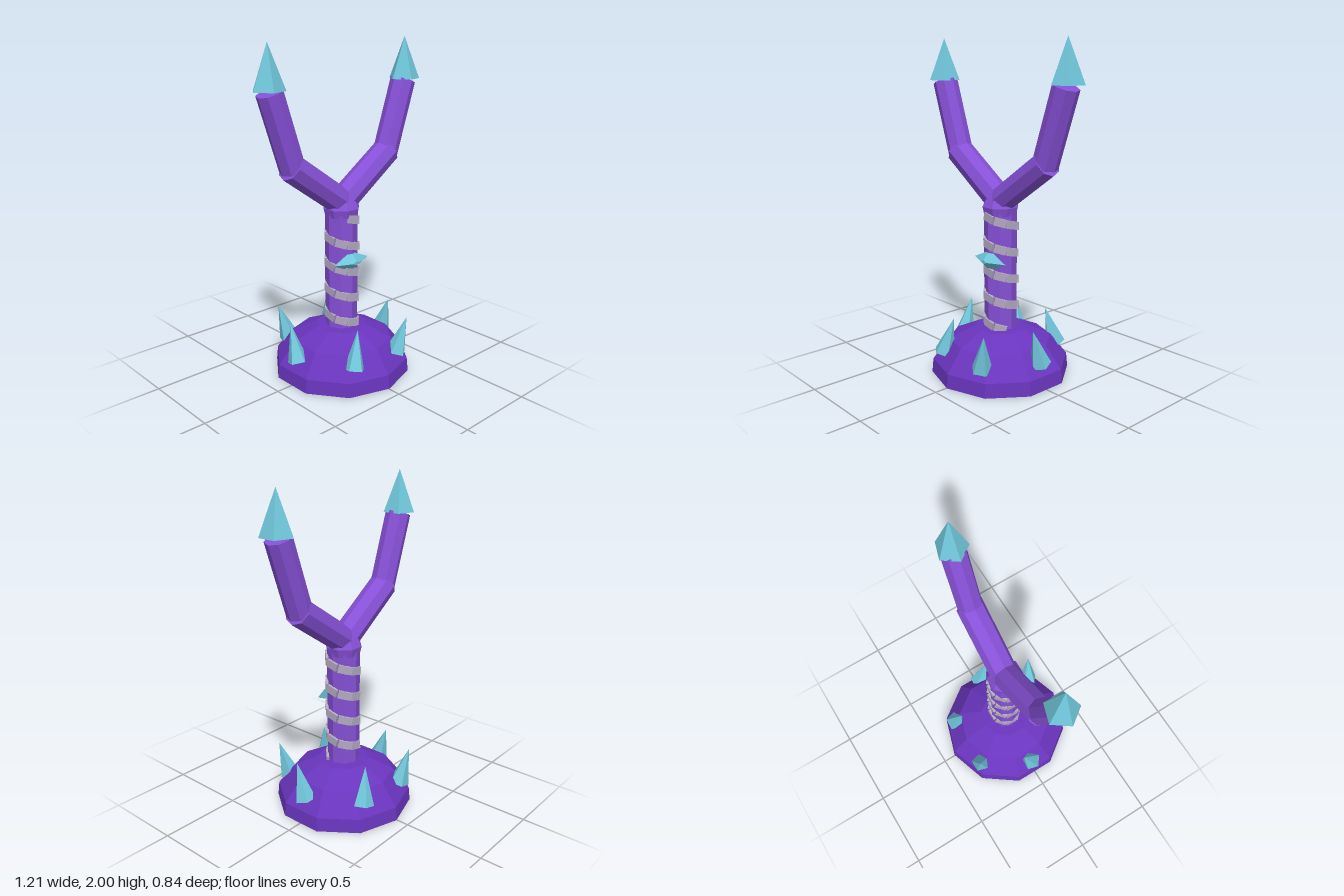
import * as THREE from 'three';

const mat = (name, color) => {
  const m = new THREE.MeshStandardMaterial({ color, flatShading: true });
  m.name = name;
  return m;
};
const UP = new THREE.Vector3(0, 1, 0);

export function createModel() {
  const darkPurple = mat('dark purple', 0x6a35be);
  const purple = mat('purple', 0x8650d6);
  const crystal = mat('crystal blue', 0x70c6da);
  const cloth = mat('wrap grey', 0xb2a8c0);

  const model = new THREE.Group();
  model.name = 'forkedStaff';
  const add = (name, geometry, material, x = 0, y = 0, z = 0) => {
    const mesh = new THREE.Mesh(geometry, material);
    mesh.name = name;
    mesh.position.set(x, y, z);
    model.add(mesh);
    return mesh;
  };
  const lathe = (points, sides) =>
    new THREE.LatheGeometry(points.map(([r, y]) => new THREE.Vector2(r, y)), sides);
  // Octagonal rod between two points
  const rod = (name, a, b, radius) => {
    const dir = b.clone().sub(a);
    const mid = a.clone().add(b).multiplyScalar(0.5);
    const mesh = add(name, new THREE.CylinderGeometry(radius, radius, dir.length(), 8), purple, mid.x, mid.y, mid.z);
    mesh.quaternion.setFromUnitVectors(UP, dir.normalize());
  };

  // Ten-sided domed foot
  add('base', lathe([[0, 0], [0.42, 0], [0.412, 0.085], [0.31, 0.215], [0.16, 0.285], [0, 0.29]], 10), darkPurple);

  // Stem and the faceted collar at the fork
  add('stem', new THREE.CylinderGeometry(0.098, 0.098, 0.76, 8), purple, 0, 0.65);
  add('forkCollar', lathe([[0, 0.98], [0.1, 0.98], [0.112, 1.03], [0.082, 1.09], [0.05, 1.14], [0, 1.14]], 8)
    .rotateY(Math.PI / 8), purple);

  // Mirrored arms, each capped with a five-sided crystal point
  for (const [side, s] of [['left', 1], ['right', -1]]) {
    rod(side + 'LowerArm', new THREE.Vector3(0, 1.06, 0), new THREE.Vector3(s * 0.38, 1.325, 0), 0.083);
    rod(side + 'UpperArm', new THREE.Vector3(s * 0.363, 1.305, 0), new THREE.Vector3(s * 0.51, 1.74, 0), 0.076);
    add(side + 'ArmPoint', new THREE.ConeGeometry(0.096, 0.252, 5, 1, false, -Math.PI / 2), crystal, s * 0.517, 1.874);
  }

  // Six leaning crystals around the foot
  for (let i = 0; i < 6; i++) {
    const a = (i * Math.PI) / 3;
    const spike = add('baseSpike', new THREE.ConeGeometry(0.064, 0.23, 5).translate(0, 0.115, 0), crystal,
      0.348 * Math.cos(a), 0.14, 0.348 * Math.sin(a));
    const lean = new THREE.Vector3(0.065 * Math.sin(a), 0.22, 0.065 * Math.cos(a)).normalize();
    spike.quaternion.setFromUnitVectors(UP, lean);
  }

  // Spiral wrap made of short tilted strips
  const pitch = 0.163, perTurn = 8;
  const strip = new THREE.BoxGeometry(0.074, 0.048, 0.016);
  for (let i = 0; i <= 33; i++) {
    const a = (i / perTurn) * Math.PI * 2;
    const m = add('wrapStrip', strip, cloth,
      0.006 + 0.096 * Math.sin(a), 0.97 - (pitch * i) / perTurn, 0.096 * Math.cos(a));
    m.rotation.set(0, a, -0.25);
  }

  // Diamond-shaped gem on the front of the stem
  add('frontGem', new THREE.CylinderGeometry(0.2, 1, 1, 4).rotateX(Math.PI / 2).scale(0.137, 0.062, 0.05),
    crystal, 0, 0.71, 0.11);

  model.position.x = 0.004;
  return model;
}
